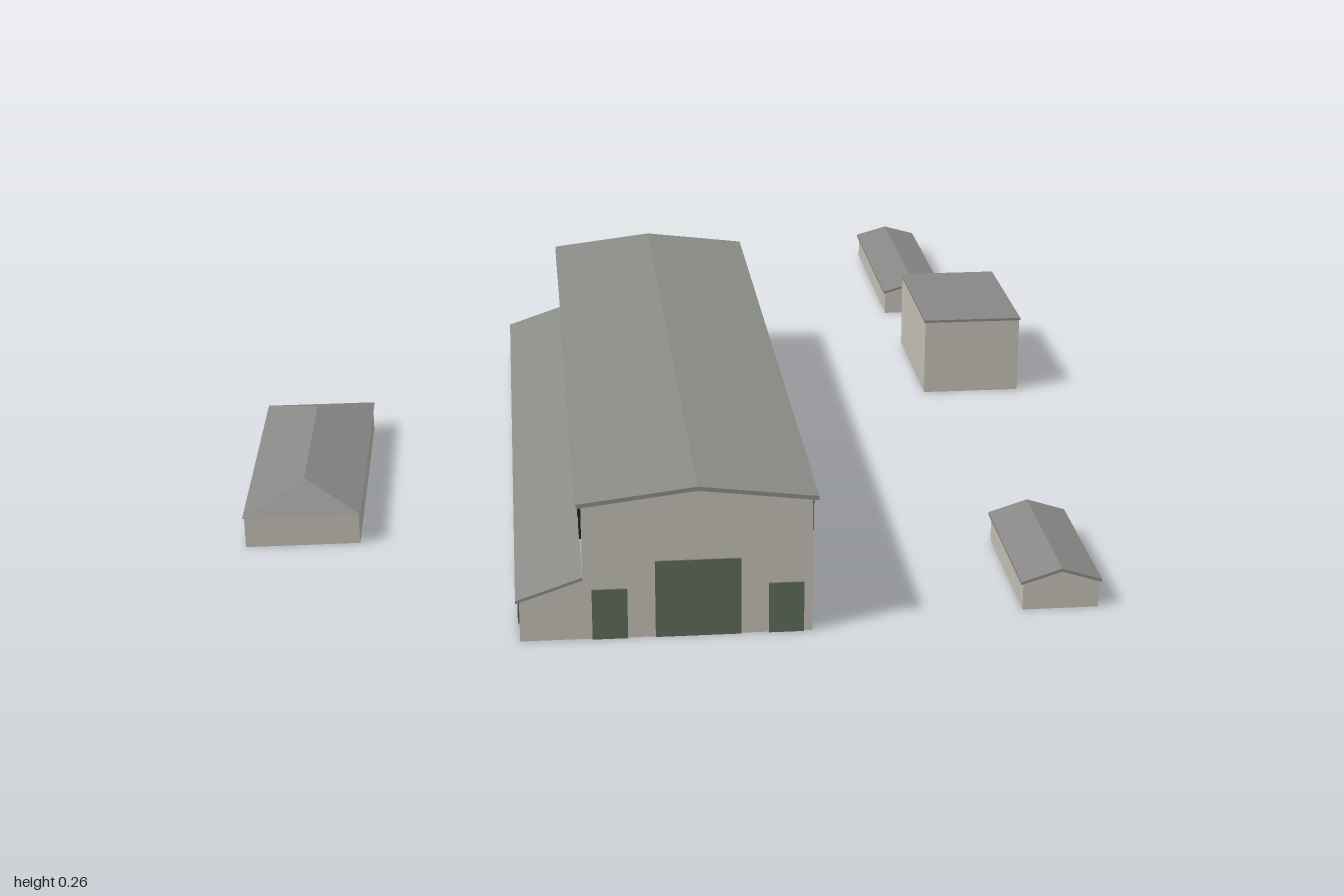
import * as THREE from 'three';

const mat = (name, color) => {
  const m = new THREE.MeshStandardMaterial({ color });
  m.name = name;
  return m;
};

export function createModel() {
  const wall = mat('wall plaster', 0xc3bfb4);
  const hallRoofMat = mat('hall roof', 0x8a8c88);
  const roofMat = mat('outbuilding roof', 0x8a8887);
  const doorMat = mat('door green', 0x5d6b58);
  const glass = mat('window dark', 0x20221f);

  const model = new THREE.Group();
  model.name = 'industrialSite';
  const ANGLE = -0.489;

  // Every building shares one orientation; local z is its long axis
  const site = (name, x, z) => {
    const g = new THREE.Group();
    g.name = name;
    g.position.set(x, 0, z);
    g.rotation.y = ANGLE;
    model.add(g);
    return g;
  };
  const add = (parent, name, geo, material, x = 0, y = 0, z = 0) => {
    const m = new THREE.Mesh(geo, material);
    m.name = name;
    m.position.set(x, y, z);
    parent.add(m);
    return m;
  };
  const box = (parent, name, material, w, h, d, x, y, z) =>
    add(parent, name, new THREE.BoxGeometry(w, h, d), material, x, y, z);

  // Cross-section in x/y drawn out along z, centred
  const prism = (points, length) => {
    const shape = new THREE.Shape(points.map(([x, y]) => new THREE.Vector2(x, y)));
    return new THREE.ExtrudeGeometry(shape, { depth: length, bevelEnabled: false })
      .translate(0, 0, -length / 2);
  };

  // Gabled block: outer roof half width a, roof length l, overhang o, roof thickness t
  const gabled = (g, a, l, eave, peak, o, t, material) => {
    const w = a - o;
    const under = peak - t - (peak - eave) * (w / a);
    add(g, 'walls', prism([[-w, 0], [w, 0], [w, under], [0, peak - t], [-w, under]], l - 2 * o), wall);
    add(g, 'gableRoof', prism([[-a, eave - t], [0, peak - t], [a, eave - t],
      [a, eave], [0, peak], [-a, eave]], l), material);
  };

  // Main hall
  const hall = site('mainHall', -0.209, 0.025);
  const L = 1.376, W = 0.182;
  gabled(hall, 0.19, 1.392, 0.233, 0.256, 0.008, 0.007, hallRoofMat);

  // Clerestory windows along both sides
  const count = 16, step = 0.0858;
  for (const side of [-1, 1]) {
    for (let i = 0; i < count; i++) {
      box(hall, 'clerestoryWindow', glass, 0.006, 0.05, 0.055,
        side * W, 0.19, (i - (count - 1) / 2) * step);
    }
  }

  // Tall gate and two side doors on each gable
  for (const end of [-1, 1]) {
    const z = end * L / 2;
    box(hall, 'gate', doorMat, 0.136, 0.13, 0.006, 0, 0.065, z);
    for (const x of [-0.14, 0.14]) box(hall, 'sideDoor', doorMat, 0.056, 0.085, 0.006, x, 0.0425, z);
  }

  // Lean-to along the side of the hall
  const outer = -0.282;
  add(hall, 'leanToWalls', prism([[outer, 0], [-W, 0], [-W, 0.101], [outer, 0.067]], L - 0.002), wall);
  add(hall, 'leanToRoof', prism([[outer - 0.006, 0.065], [-W, 0.101], [-W, 0.106], [outer - 0.006, 0.07]], L), hallRoofMat);
  for (let i = 0; i < 6; i++) {
    const z = -L / 2 + L * (0.13 + 0.152 * i);
    box(hall, 'leanToWindow', glass, 0.006, 0.018, 0.03, outer, 0.042, z);
    box(hall, 'leanToDoor', doorMat, 0.006, 0.044, 0.034, outer, 0.022, z + 0.066);
  }

  // Two small gabled sheds
  gabled(site('backShed', 0.835, -0.685), 0.065, 0.44, 0.05, 0.068, 0.004, 0.005, roofMat);
  gabled(site('frontShed', 0.078, 0.745), 0.066, 0.295, 0.05, 0.071, 0.004, 0.005, roofMat);

  // Flat-roofed block
  const block = site('flatBlock', 0.6, -0.162);
  box(block, 'walls', wall, 0.188, 0.146, 0.307, 0, 0.073, 0);
  box(block, 'flatRoof', roofMat, 0.192, 0.005, 0.311, 0, 0.1485, 0);

  // Hip-roofed building: the top of a box is pinched into a ridge
  const hip = site('hipBuilding', -0.778, -0.288);
  box(hip, 'walls', wall, 0.194, 0.054, 0.552, 0, 0.027, 0);
  const hipGeo = new THREE.BoxGeometry(0.2, 0.032, 0.56).toNonIndexed();
  const p = hipGeo.attributes.position;
  for (let i = 0; i < p.count; i++) {
    if (p.getY(i) > 0) p.setXYZ(i, 0, p.getY(i), Math.sign(p.getZ(i)) * 0.18);
  }
  hipGeo.computeVertexNormals();
  add(hip, 'hipRoof', hipGeo, roofMat, 0, 0.07, 0);

  return model;
}
